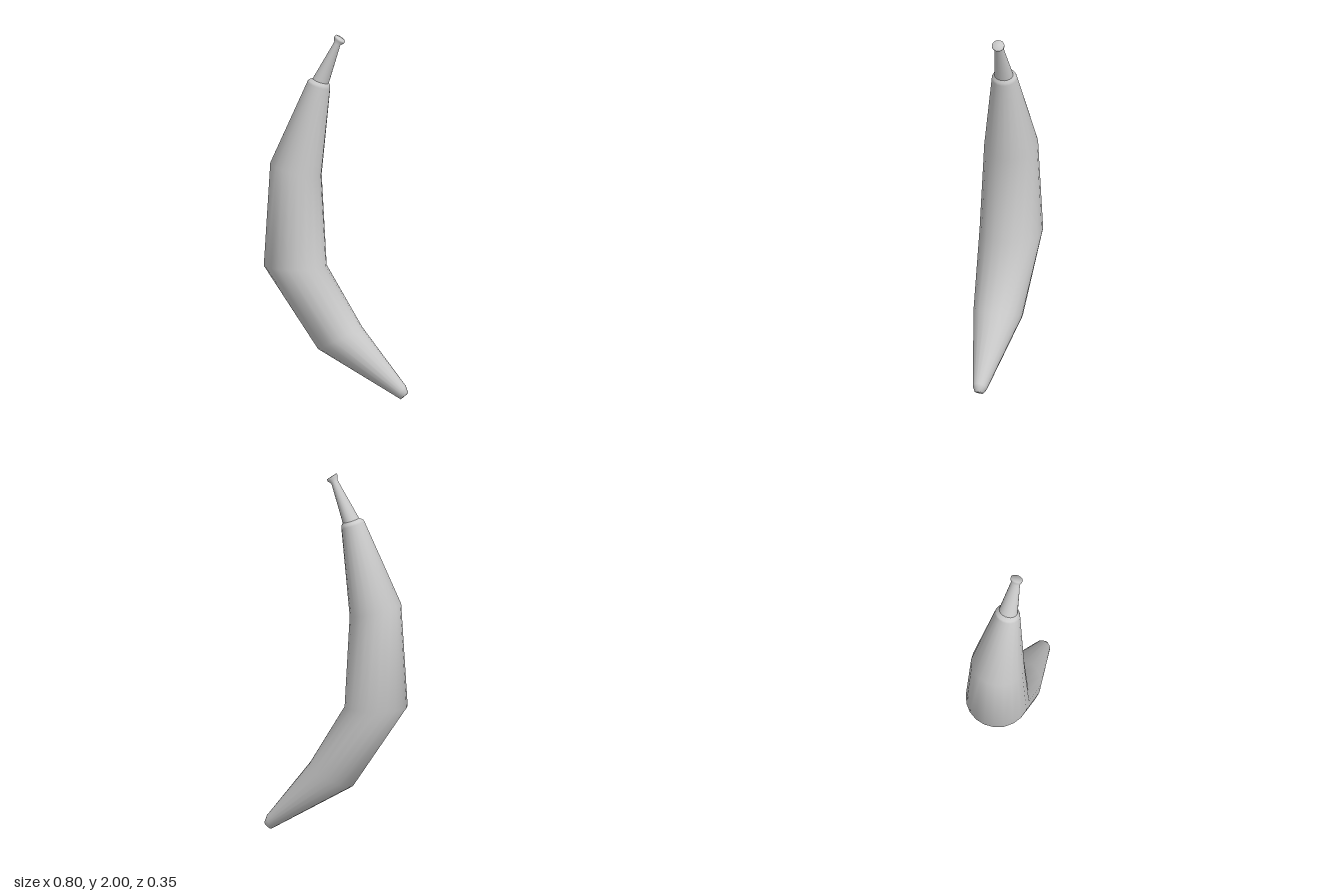
import * as THREE from 'three';

const SIDES = 20;

// Skin a closed tube through tilted elliptical rings, listed bottom to top.
// Ring: [outerX, outerY, innerX, innerY, halfDepth]; a zero-size ring closes an end.
function loft(name, rings, material) {
  const positions = [];
  const index = [];
  rings.forEach(([ox, oy, ix, iy, depth], r) => {
    for (let s = 0; s < SIDES; s++) {
      const a = (s / SIDES) * Math.PI * 2;
      const t = (1 + Math.cos(a)) / 2;
      positions.push(ox + (ix - ox) * t, oy + (iy - oy) * t, depth * Math.sin(a));
      if (r === rings.length - 1) continue;
      const p = r * SIDES + s;
      const q = r * SIDES + ((s + 1) % SIDES);
      index.push(p, p + SIDES, q, q, p + SIDES, q + SIDES);
    }
  });
  const geometry = new THREE.BufferGeometry();
  geometry.setAttribute('position', new THREE.Float32BufferAttribute(positions, 3));
  geometry.setIndex(index);
  geometry.computeVertexNormals();
  const mesh = new THREE.Mesh(geometry, material);
  mesh.name = name;
  return mesh;
}

export function createModel() {
  const group = new THREE.Group();
  group.name = 'banana';
  const material = new THREE.MeshStandardMaterial({ color: 0xcccccc });

  // Curved fruit body, from the blunt tip up to the shoulder
  group.add(loft('peel', [
    [0.382, 0.024, 0.382, 0.024, 0],
    [0.36, 0.005, 0.4, 0.04, 0.025],
    [0.345, 0.014, 0.385, 0.08, 0.04],
    [-0.1, 0.268, 0.14, 0.39, 0.135],
    [-0.403, 0.72, -0.06, 0.72, 0.173],
    [-0.367, 1.29, -0.088, 1.22, 0.147],
    [-0.162, 1.74, -0.038, 1.7, 0.07],
    [-0.155, 1.75, -0.038, 1.715, 0.065],
    [-0.132, 1.758, -0.045, 1.73, 0.052],
  ], material));

  // Tapering stem with a flared, cut end
  group.add(loft('stem', [
    [-0.132, 1.758, -0.045, 1.73, 0.052],
    [-0.012, 1.963, 0.02, 1.943, 0.026],
    [-0.012, 1.99, 0.042, 1.955, 0.034],
    [-0.006, 2.0, 0.046, 1.965, 0.034],
    [0.02, 1.984, 0.02, 1.984, 0],
  ], material));

  return group;
}
